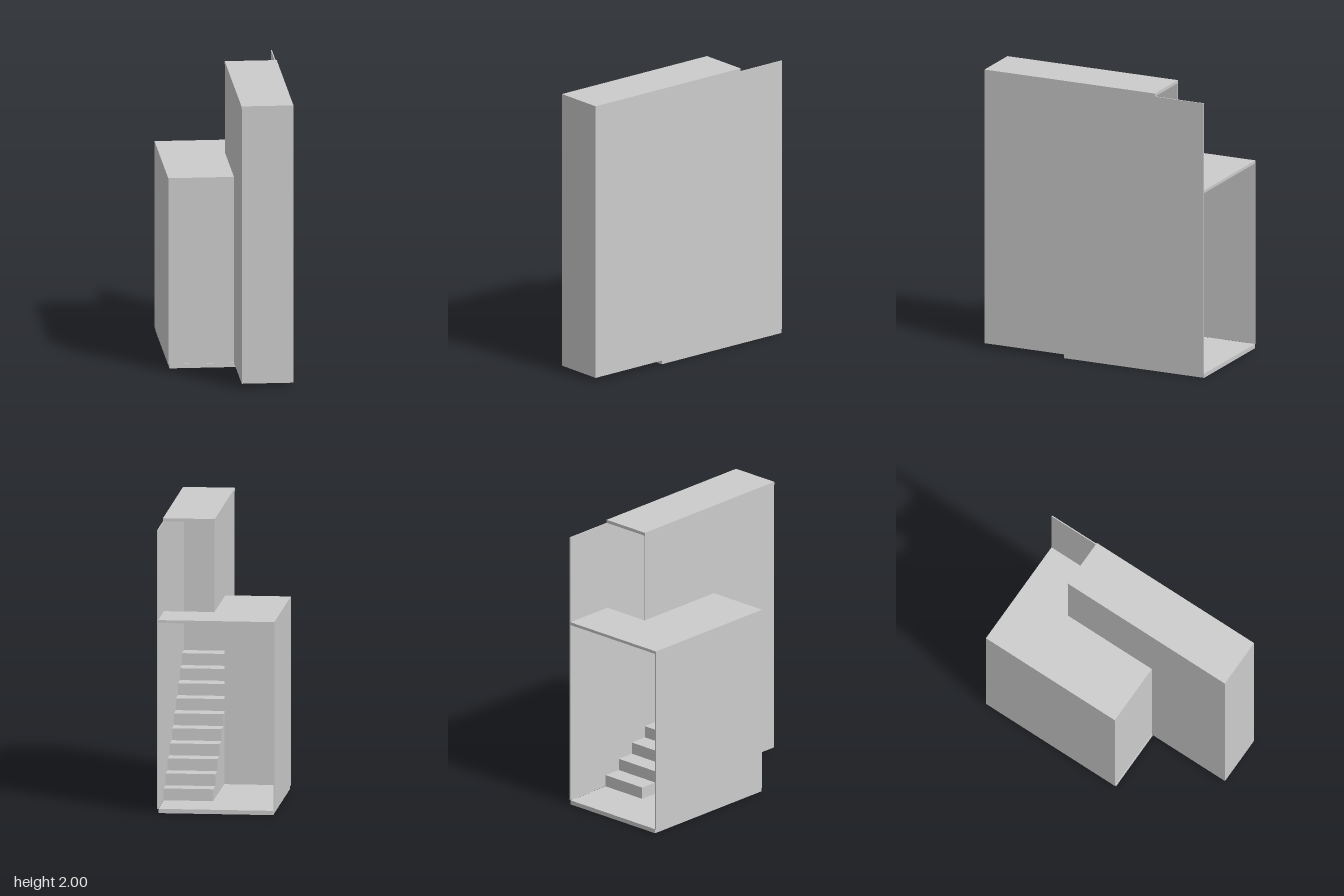
import * as THREE from 'three';

export function createModel() {
  const model = new THREE.Group();
  model.name = 'stairwell';
  const plaster = new THREE.MeshStandardMaterial({ color: 0xcccccc });
  plaster.name = 'light grey plaster';

  // box given by its lower and upper corners
  function block(name, [x0, y0, z0], [x1, y1, z1], parent = model) {
    const geo = new THREE.BoxGeometry(x1 - x0, y1 - y0, z1 - z0);
    const mesh = new THREE.Mesh(geo, plaster);
    mesh.position.set((x0 + x1) / 2, (y0 + y1) / 2, (z0 + z1) / 2);
    mesh.name = name;
    parent.add(mesh);
  }

  // thin wall split into skirting, lower and upper panels
  const levels = [0.03, 0.1, 0.78];
  const panels = ['Skirting', 'LowerPanel', 'UpperPanel'];
  function wall(name, x0, x1, z0, z1, top) {
    const group = new THREE.Group();
    group.name = name;
    panels.forEach((panel, i) =>
      block(name + panel, [x0, levels[i], z0], [x1, levels[i + 1] ?? top, z1], group));
    model.add(group);
  }

  const T = 0.007; // wall thickness
  const left = 0.405, right = -0.408, shaft = 0.047;
  const back = -0.842, front = 0.842, roomFront = 0.232, shaftBack = -0.468;
  const lowTop = 1.33, highTop = 1.978;

  // floor slab
  block('floor', [-0.4, 0.005, back], [0.397, 0.03, 0.236]);
  block('floorBase', [-0.4, 0, back], [0.397, 0.005, 0.236]);

  // walls, with the back left open
  wall('leftWall', left - T, left, back, front, highTop);
  wall('rightWall', right, right + T, back, roomFront, lowTop);
  wall('roomFrontWall', right + T, shaft, roomFront - T, roomFront, lowTop);
  wall('shaftFrontWall', shaft, left - T, front - T, front, highTop);
  wall('shaftSideWall', shaft, shaft + T, roomFront, front - T, highTop);
  block('shaftUpperWall', [shaft, lowTop, shaftBack], [shaft + T, highTop, roomFront]);

  // L-shaped ceiling around the stair opening
  const outline = new THREE.Shape([
    [right, back], [left - T, back], [left - T, shaftBack],
    [shaft, shaftBack], [shaft, roomFront], [right, roomFront],
  ].map(([x, z]) => new THREE.Vector2(x, z)));
  const ceilingGeo = new THREE.ExtrudeGeometry(outline, { depth: 0.02, bevelEnabled: false });
  ceilingGeo.rotateX(Math.PI / 2);
  const ceiling = new THREE.Mesh(ceilingGeo, plaster);
  ceiling.position.y = 1.35;
  ceiling.name = 'roomCeiling';
  model.add(ceiling);

  // roof over the stair shaft
  block('shaftRoof', [shaft - 0.002, highTop, shaftBack], [left, 2, front]);

  // solid steps climbing towards the front
  const stairs = new THREE.Group();
  stairs.name = 'stairs';
  const count = 10, start = -0.485, end = front - T;
  const tread = (end - start) / count, rise = 0.083;
  for (let i = 0; i < count; i++) {
    block('step' + (i + 1), [shaft + T, 0.03, start + i * tread],
      [left - T, 0.03 + (i + 1) * rise, start + (i + 1) * tread], stairs);
  }
  model.add(stairs);

  return model;
}
